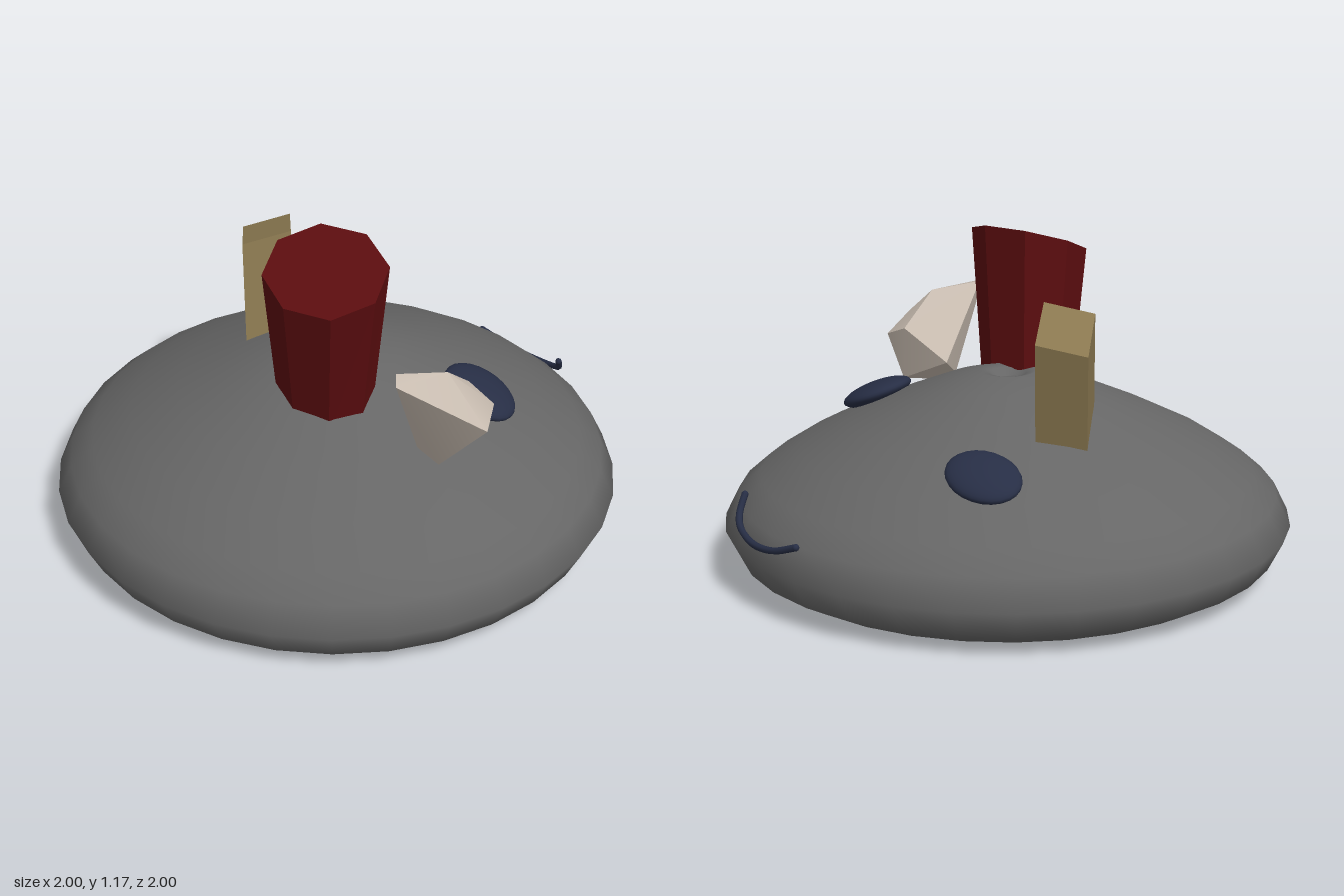
import * as THREE from 'three';
import { ConvexGeometry } from 'three/addons/geometries/ConvexGeometry.js';
import { toCreasedNormals } from 'three/addons/utils/BufferGeometryUtils.js';

const V = (x, y, z) => new THREE.Vector3(x, y, z);
const mat = (color, flatShading = false) => new THREE.MeshStandardMaterial({ color, flatShading });

export function createModel() {
  const group = new THREE.Group();
  const add = (name, geometry, material) => {
    const mesh = new THREE.Mesh(geometry, material);
    mesh.name = name;
    group.add(mesh);
    return mesh;
  };
  const navy = mat(0x272e45);

  // Domed body with a small dimple at the top and underneath
  const profile = [
    [0, 0.06], [0.045, 0.05], [0.065, 0.025], [0.13, 0.01], [0.4, 0.006], [0.72, 0.005],
    [0.86, 0.02], [0.95, 0.07], [1, 0.17], [0.95, 0.27], [0.87, 0.34], [0.73, 0.43],
    [0.56, 0.515], [0.39, 0.59], [0.23, 0.655], [0.1, 0.69], [0.065, 0.682],
    [0.045, 0.66], [0.03, 0.665], [0.015, 0.645], [0, 0.64],
  ].map(([r, y]) => new THREE.Vector2(r, y));
  add('body', new THREE.LatheGeometry(profile, 32), mat(0x666666));

  // Eight-sided leaning plug, flared upward and cut at a slant
  const plug = new THREE.CylinderGeometry(1, 1, 1, 8);
  const p = plug.attributes.position;
  for (let i = 0; i < p.count; i++) {
    const t = p.getY(i) + 0.5;
    const x = THREE.MathUtils.lerp(-0.165, -0.21, t) + p.getX(i) * (0.145 + 0.045 * t);
    const z = THREE.MathUtils.lerp(0.115, 0.165, t) + p.getZ(i) * (0.175 + 0.055 * t);
    const top = 1.11 + 0.34 * (x + 0.21) - 0.11 * (z - 0.165);
    p.setXYZ(i, x, THREE.MathUtils.lerp(0.52, top, t), z);
  }
  plug.computeVertexNormals();
  add('redPlug', plug, mat(0x5c0d0f, true));

  // Tilted block: short, upright and long edges spanned from its top corner
  const short = V(0.14, 0.04, 0.1), up = V(0.07, 0.44, -0.09), long = V(-0.19, 0.08, 0.21);
  const block = new THREE.BoxGeometry(1, 1, 1).translate(0.5, -0.5, 0.5);
  block.applyMatrix4(new THREE.Matrix4().makeBasis(short, up, long).setPosition(0.1, 0.87, -0.59));
  add('yellowBlock', block, mat(0x8a7850, true));

  // Pale faceted stone
  const stone = new ConvexGeometry([
    V(-0.29, 0.88, 0.57), V(-0.24, 0.887, 0.52), V(-0.08, 0.86, 0.6), V(0.07, 0.74, 0.56),
    V(0.075, 0.7, 0.67), V(-0.11, 0.74, 0.805), V(-0.01, 0.63, 0.4), V(0.05, 0.54, 0.6),
    V(-0.11, 0.51, 0.6), V(-0.13, 0.55, 0.52),
  ]);
  add('paleStone', toCreasedNormals(stone, 0.6), mat(0xc9bdb1));

  // Flattened eyes lying on the dome
  const addEye = (name, position, normal, along, width, length) => {
    const n = normal.normalize();
    const side = n.clone().cross(along).normalize();
    const eye = add(name, new THREE.SphereGeometry(1, 24, 16), navy);
    eye.scale.set(width, 0.04, length);
    eye.quaternion.setFromRotationMatrix(
      new THREE.Matrix4().makeBasis(side, n, side.clone().cross(n)));
    eye.position.copy(position);
  };
  addEye('frontEye', V(0.265, 0.555, 0.44), V(0.19, 0.9, 0.32), V(0, 0, 1), 0.125, 0.143);
  addEye('backEye', V(0.425, 0.495, -0.465), V(0.3, 0.88, -0.33), V(0.2, 0, 0.98), 0.108, 0.138);

  // Curved smile with rounded ends
  const smile = new THREE.CatmullRomCurve3([
    V(0.9, 0.33, 0.275), V(0.935, 0.28, 0.25), V(0.962, 0.25, 0.2), V(0.98, 0.228, 0.1),
    V(0.98, 0.226, 0.02), V(0.97, 0.238, -0.06), V(0.945, 0.27, -0.15),
  ]);
  add('smile', new THREE.TubeGeometry(smile, 40, 0.012, 8), navy);
  for (const t of [0, 1]) {
    add('smileEnd', new THREE.SphereGeometry(0.012, 10, 8), navy).position.copy(smile.getPoint(t));
  }

  return group;
}
